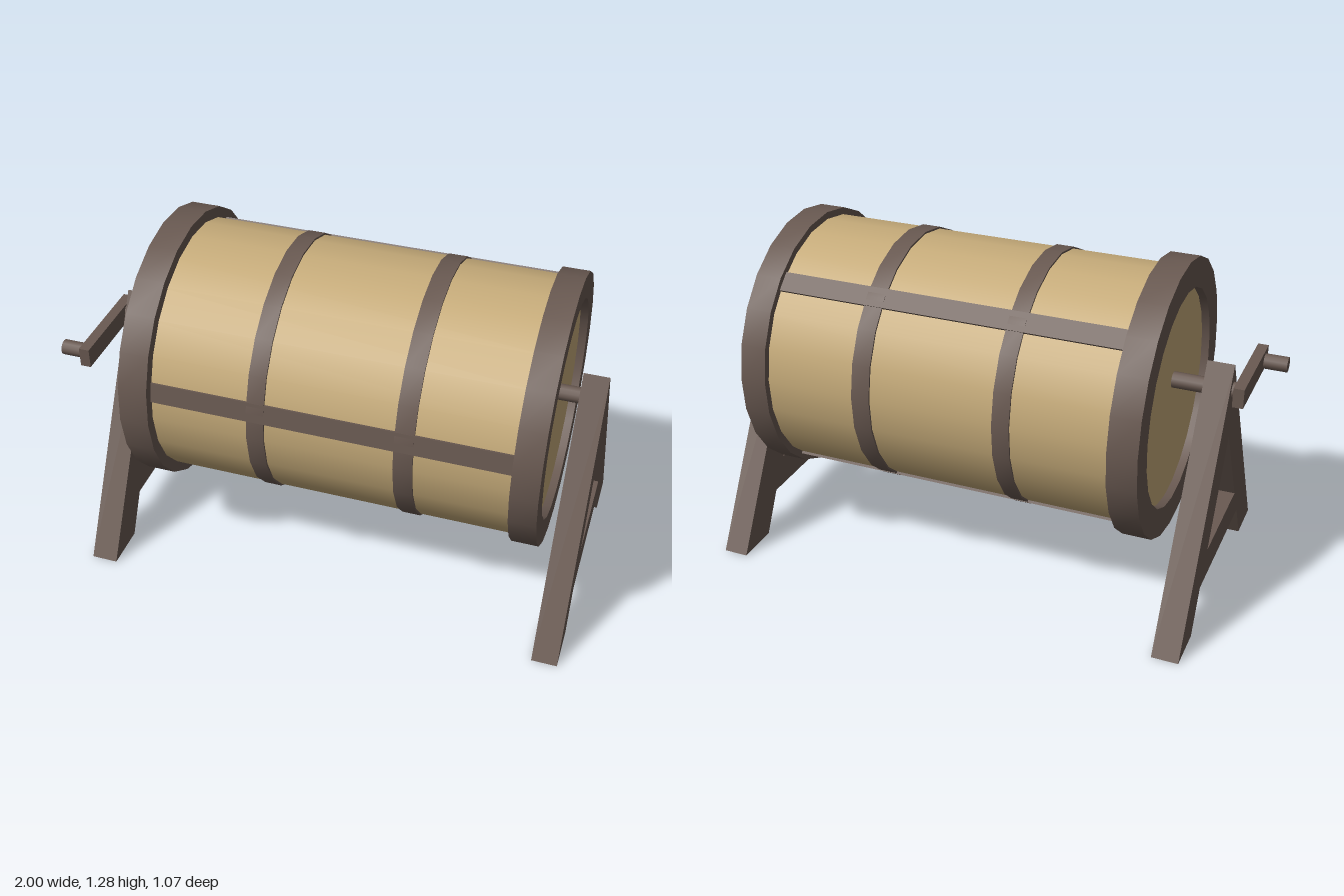
import * as THREE from 'three';
import { toCreasedNormals } from 'three/addons/utils/BufferGeometryUtils.js';

const DRUM_Y = 0.757;
const AXLE_Y = 0.83;
const SIDES = 24;

export function createModel() {
  const model = new THREE.Group();
  model.name = 'barrelOnStand';

  const darkWood = new THREE.MeshStandardMaterial({ color: 0x6a5a52 });
  darkWood.name = 'dark wood';
  const paleWood = new THREE.MeshStandardMaterial({ color: 0xc8ad7b });
  paleWood.name = 'pale wood';

  function add(parent, name, geometry, material, x = 0, y = 0, z = 0) {
    const mesh = new THREE.Mesh(geometry, material);
    mesh.name = name;
    mesh.position.set(x, y, z);
    parent.add(mesh);
    return mesh;
  }

  // Solid rod along x between two ends
  function rod(x0, x1, radius, sides) {
    return new THREE.CylinderGeometry(radius, radius, x1 - x0, sides)
      .rotateZ(-Math.PI / 2).translate((x0 + x1) / 2, 0, 0);
  }

  // Square-section ring around the x axis
  function ring(x0, x1, inner, outer) {
    const profile = [[outer, x0], [outer, x1], [inner, x1], [inner, x0], [outer, x0]]
      .map(([r, x]) => new THREE.Vector2(r, x));
    const geometry = new THREE.LatheGeometry(profile, SIDES).rotateZ(-Math.PI / 2);
    return toCreasedNormals(geometry, Math.PI / 6);
  }

  // Drum with its end rims and hoops
  const drum = new THREE.Group();
  drum.name = 'drum';
  drum.position.y = DRUM_Y;
  model.add(drum);

  const shell = new THREE.Group();
  shell.name = 'shell';
  shell.rotation.x = THREE.MathUtils.degToRad(3);
  drum.add(shell);
  add(shell, 'barrel', rod(-0.64, 0.83, 0.48, SIDES), paleWood);
  add(shell, 'rightRim', ring(-0.67, -0.56, 0.41, 0.522), darkWood);
  add(shell, 'leftRim', ring(0.76, 0.86, 0.41, 0.507), darkWood);
  add(shell, 'rightHoop', ring(-0.195, -0.13, 0.45, 0.487), darkWood);
  add(shell, 'leftHoop', ring(0.345, 0.415, 0.45, 0.487), darkWood);

  // Lengthwise battens, angles measured upward from the front
  for (const degrees of [10.5, 132, 237, 298]) {
    const a = THREE.MathUtils.degToRad(degrees);
    const batten = add(drum, 'batten', new THREE.BoxGeometry(1.34, 0.075, 0.05), darkWood,
      0.1, Math.sin(a) * 0.46, Math.cos(a) * 0.46);
    batten.rotation.x = -a;
  }

  // Axle and crank
  add(model, 'axle', rod(-0.89, 0.95, 0.03, 12), darkWood, 0, AXLE_Y, 0);
  add(model, 'crankArm', new THREE.BoxGeometry(0.04, 0.075, 0.39), darkWood, -0.892, AXLE_Y - 0.002, 0.14);
  add(model, 'crankHandle', rod(-1, -0.9, 0.029, 12), darkWood, 0, AXLE_Y - 0.007, 0.285);

  // A-shaped trestles
  const outline = new THREE.Shape([
    [-0.535, 0], [-0.365, 0], [-0.28, 0.157], [0.28, 0.157],
    [0.365, 0], [0.535, 0], [0, 0.93],
  ].map(([x, y]) => new THREE.Vector2(x, y)));
  outline.holes.push(new THREE.Path(
    [[-0.207, 0.275], [0, 0.64], [0.207, 0.275]].map(([x, y]) => new THREE.Vector2(x, y))));
  for (const [name, x0, x1] of [['rightTrestle', -0.86, -0.76], ['leftTrestle', 0.905, 1]]) {
    const geometry = new THREE.ExtrudeGeometry(outline, { depth: x1 - x0, bevelEnabled: false })
      .rotateY(Math.PI / 2);
    add(model, name, geometry, darkWood, x0, 0, 0);
  }

  return model;
}
